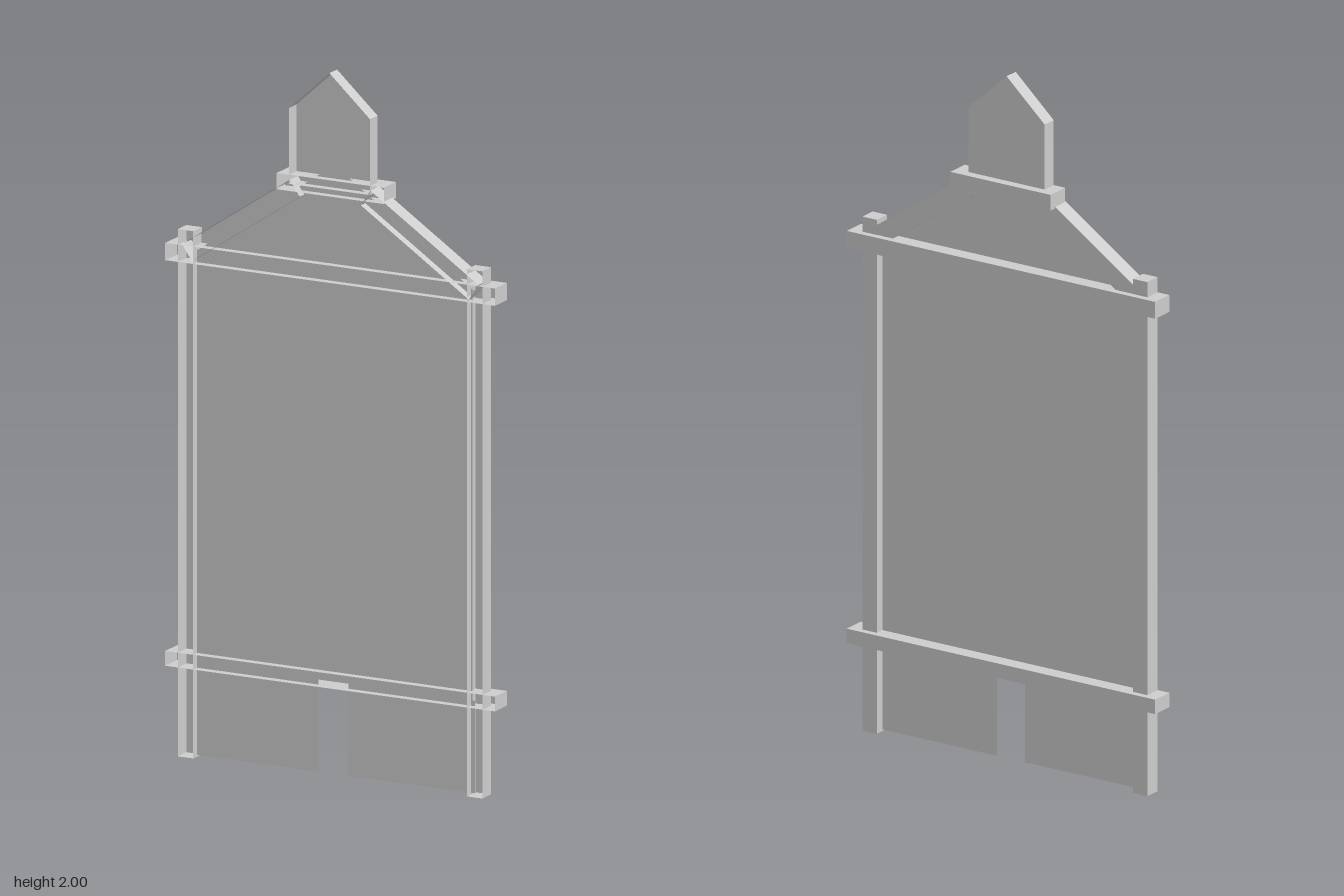
import * as THREE from 'three';

const plain = new THREE.MeshStandardMaterial({ color: 0xcccccc, side: THREE.DoubleSide });
plain.name = 'plain grey';

const FRONT = 0.033; // open front plane of all the timbers
const SHEET = 0.01;  // plane of the thin infill sheets

const toShape = (pts) => new THREE.Shape(pts.map(([x, y]) => new THREE.Vector2(x, y)));
const rect = (x0, x1, y0, y1) => [[x0, y0], [x1, y0], [x1, y1], [x0, y1]];

// Thin flat sheet lying in a z plane
function sheet(name, pts, z) {
  const mesh = new THREE.Mesh(new THREE.ShapeGeometry(toShape(pts)), plain);
  mesh.position.z = z;
  mesh.name = name;
  return mesh;
}

// Hollow timber: an extruded outline whose front (+z) cap is left off
function timber(name, pts, zBack, zFront = FRONT) {
  const depth = zFront - zBack;
  const solid = new THREE.ExtrudeGeometry(toShape(pts), { depth, bevelEnabled: false });
  const p = solid.attributes.position;
  const kept = [];
  for (let i = 0; i < p.count; i += 3) {
    const isFront = [0, 1, 2].every((k) => p.getZ(i + k) > depth - 1e-5);
    if (isFront) continue;
    for (let k = 0; k < 3; k++) kept.push(p.getX(i + k), p.getY(i + k), p.getZ(i + k));
  }
  const geo = new THREE.BufferGeometry();
  geo.setAttribute('position', new THREE.Float32BufferAttribute(kept, 3));
  geo.computeVertexNormals();
  const mesh = new THREE.Mesh(geo, plain);
  mesh.position.z = zBack;
  mesh.name = name;
  return mesh;
}

// Outline of a straight bar between two points
function bar(a, b, half) {
  const len = Math.hypot(b[0] - a[0], b[1] - a[1]);
  const nx = (-(b[1] - a[1]) / len) * half;
  const ny = ((b[0] - a[0]) / len) * half;
  return [[a[0] - nx, a[1] - ny], [b[0] - nx, b[1] - ny], [b[0] + nx, b[1] + ny], [a[0] + nx, a[1] + ny]];
}

export function createModel() {
  const model = new THREE.Group();
  model.name = 'gabledPanel';

  // Upright posts
  model.add(timber('rightPost', rect(-0.475, -0.427, 0.003, 1.498), -0.017));
  model.add(timber('leftPost', rect(0.423, 0.471, 0.003, 1.498), -0.017));

  // Cross beams, standing proud at the back
  model.add(timber('lowerBeam', rect(-0.514, 0.51, 0.255, 0.297), -0.036));
  model.add(timber('upperBeam', rect(-0.514, 0.51, 1.405, 1.454), -0.036));

  // Main infill panel with a thin plate on its back
  model.add(sheet('mainPanel', rect(-0.438, 0.428, 0.27, 1.43), SHEET));
  model.add(sheet('backPlate', rect(-0.265, 0.26, 0.51, 1.23), SHEET - 0.004));

  // Boards below the lower beam
  model.add(sheet('rightLowerBoard', rect(-0.44, -0.05, 0.008, 0.27), SHEET));
  model.add(sheet('leftLowerBoard', rect(0.043, 0.436, 0.008, 0.27), SHEET));

  // Gable sheet and its two rafters
  model.add(sheet('gableSheet', [[-0.44, 1.43], [0.436, 1.43], [0, 1.735]], SHEET));
  for (const s of [-1, 1]) {
    const outline = bar([s * 0.445, 1.436], [s * 0.11, 1.661], 0.027);
    model.add(timber(s < 0 ? 'rightRafter' : 'leftRafter', outline, -0.016, 0.036));
  }

  // Collar beam across the rafter tops
  model.add(timber('collarBeam', rect(-0.168, 0.165, 1.65, 1.696), -0.038));

  // Pointed finial
  model.add(timber('finial',
    [[-0.13, 1.67], [0.122, 1.67], [0.122, 1.885], [-0.004, 2.0], [-0.13, 1.885]], -0.011));

  return model;
}
